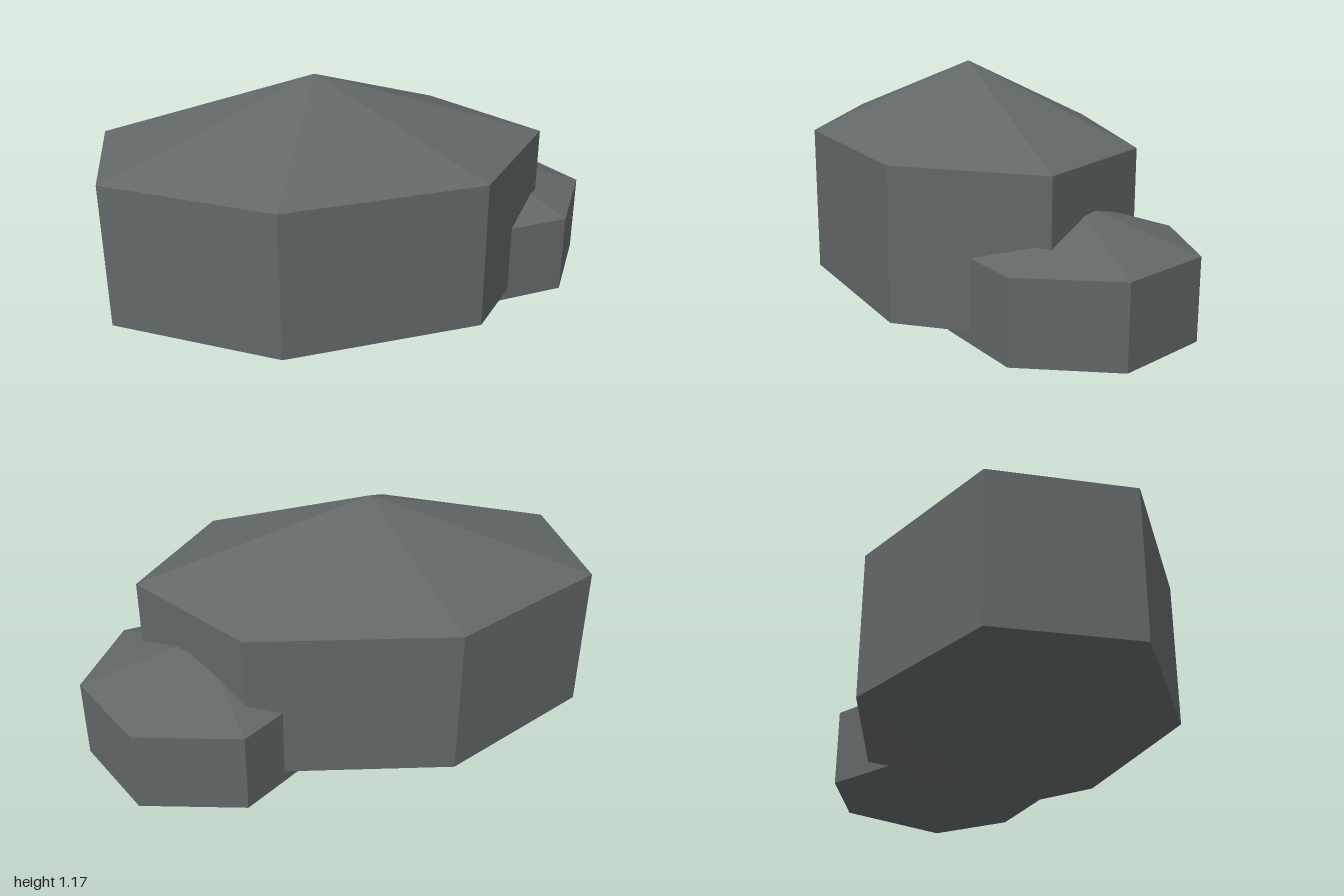
import * as THREE from 'three';

const stone = new THREE.MeshStandardMaterial({ color: 0x626767, flatShading: true });
stone.name = 'grey stone';

// Seven-sided rock: upright walls with a shallow point above and below
function makeRock(name, x, z, rx, rz, [base, low, high, peak]) {
  const profile = [[0, base], [1, low], [1, high], [0, peak]].map(([r, y]) => new THREE.Vector2(r, y));
  const indexed = new THREE.LatheGeometry(profile, 7, Math.PI / 2); // one corner points to +x
  indexed.scale(rx, 1, rz);
  const geometry = indexed.toNonIndexed();
  geometry.computeVertexNormals();
  const rock = new THREE.Mesh(geometry, stone);
  rock.name = name;
  rock.position.set(x, 0, z);
  return rock;
}

export function createModel() {
  const group = new THREE.Group();
  group.name = 'rocks';
  group.add(
    makeRock('largeRock', -0.17, 0.01, 0.92, 0.626, [0, 0.295, 0.885, 1.175]),
    makeRock('smallRock', 0.53, -0.17, 0.47, 0.466, [0.087, 0.248, 0.57, 0.73]),
  );
  return group;
}
